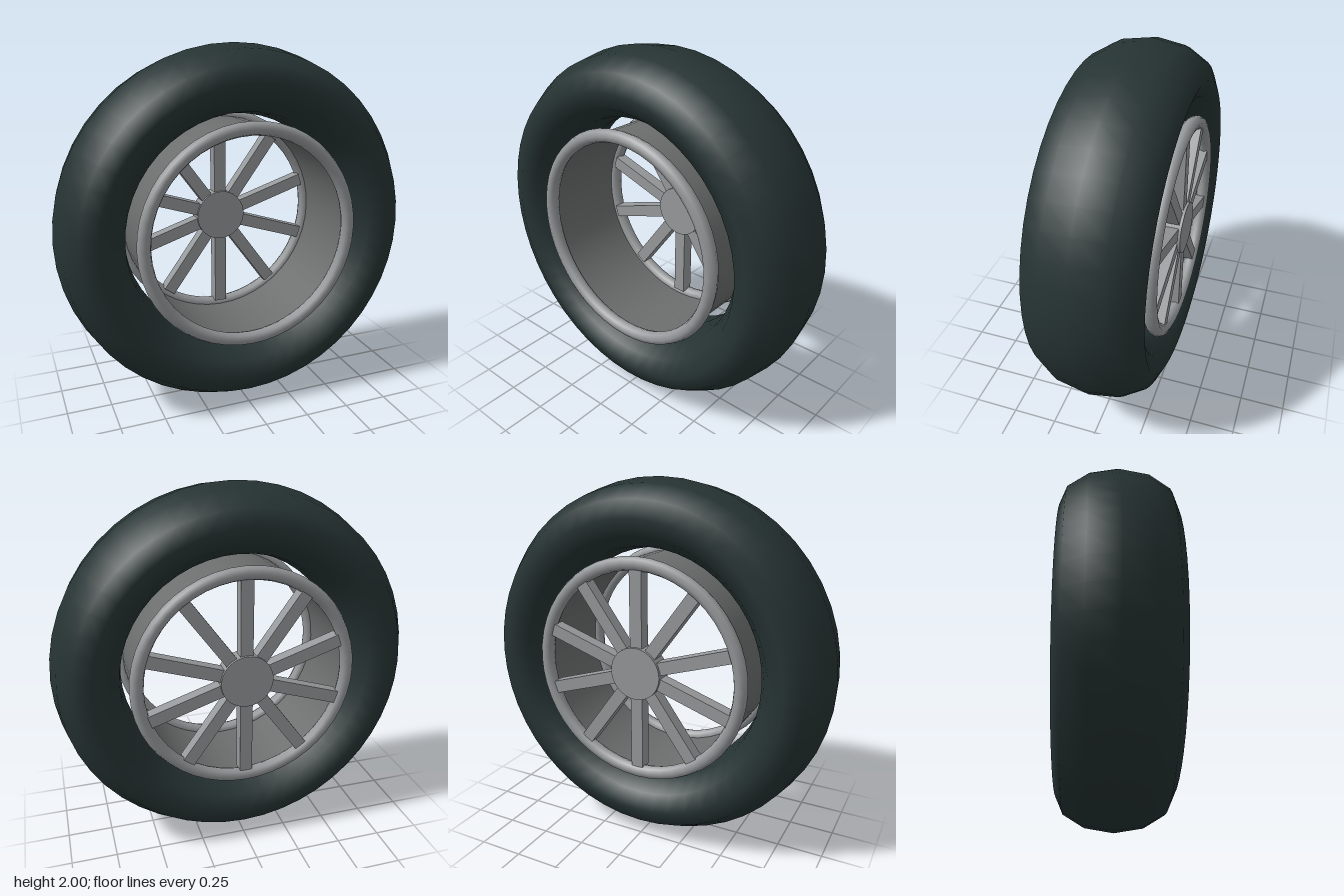
import * as THREE from 'three';

export function createModel() {
  const rubber = new THREE.MeshStandardMaterial({ color: 0x263333 });
  rubber.name = 'dark rubber';
  const metal = new THREE.MeshStandardMaterial({ color: 0x979a9c });
  metal.name = 'light metal';
  const barrelMetal = new THREE.MeshStandardMaterial({ color: 0x6c6e6e, side: THREE.DoubleSide });
  barrelMetal.name = 'dark metal';

  const wheel = new THREE.Group();
  wheel.name = 'wheel';
  wheel.position.y = 1;

  const add = (name, geometry, material, z = 0, parent = wheel) => {
    const mesh = new THREE.Mesh(geometry, material);
    mesh.name = name;
    mesh.position.z = z;
    parent.add(mesh);
    return mesh;
  };

  // Tire: a ring stretched along the axle
  const tireGeometry = new THREE.TorusGeometry(0.815, 0.185, 12, 48);
  tireGeometry.scale(1, 1, 0.31 / 0.185);
  tireGeometry.computeVertexNormals();
  // Average the normals across the two closing seams
  const torusNormals = new THREE.TorusGeometry(0.815, 0.185, 12, 48).attributes.normal;
  for (let i = 0; i < torusNormals.count; i++) {
    const n = new THREE.Vector3().fromBufferAttribute(torusNormals, i);
    n.z *= 0.185 / 0.31;
    n.normalize();
    tireGeometry.attributes.normal.setXYZ(i, n.x, n.y, n.z);
  }
  add('tire', tireGeometry, rubber);

  // Rim: open barrel with a rounded lip at each end
  const barrel = new THREE.CylinderGeometry(0.585, 0.585, 0.53, 48, 1, true);
  barrel.rotateX(Math.PI / 2);
  add('rimBarrel', barrel, barrelMetal);
  const lip = new THREE.TorusGeometry(0.585, 0.0375, 8, 48);
  add('frontLip', lip, metal, 0.265);
  add('backLip', lip, metal, -0.265);

  // Hub and ten spokes sit near the back of the rim
  const hub = new THREE.CylinderGeometry(0.145, 0.145, 0.1, 32);
  hub.rotateX(Math.PI / 2);
  add('hub', hub, metal, -0.25);

  const spokes = new THREE.Group();
  spokes.name = 'spokes';
  wheel.add(spokes);
  const spoke = new THREE.BoxGeometry(0.07, 0.555, 0.07);
  spoke.translate(0, 0.2775, 0);
  for (let i = 0; i < 10; i++) {
    add('spoke', spoke, metal, -0.25, spokes).rotation.z = (i * Math.PI) / 5;
  }

  const model = new THREE.Group();
  model.name = 'spokedWheel';
  model.add(wheel);
  return model;
}
